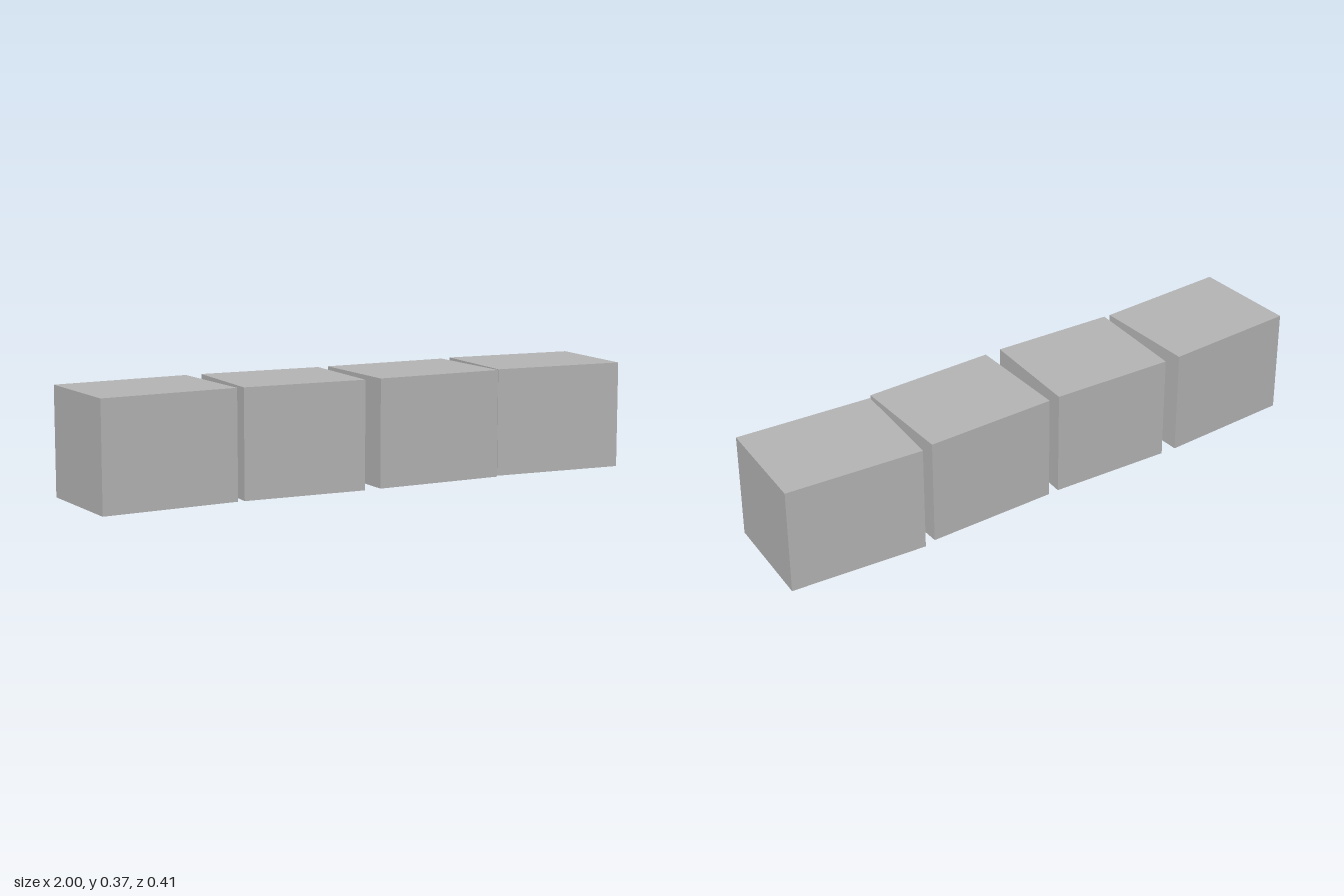
import * as THREE from 'three';

// A row of four loose blocks, each turned slightly about the vertical
export function createModel() {
  const group = new THREE.Group();
  group.name = 'blockRow';
  const grey = new THREE.MeshStandardMaterial({ color: 0xb3b3b3 });
  grey.name = 'grey';

  const size = 0.374; // shared height and depth
  const blocks = [
    { x: -0.752, z: -0.001, width: 0.478, turn: 0.05 },
    { x: -0.255, z: -0.003, width: 0.437, turn: -0.04 },
    { x: 0.246, z: 0, width: 0.466, turn: 0.015 },
    { x: 0.746, z: 0, width: 0.482, turn: -0.072 },
  ];
  blocks.forEach(({ x, z, width, turn }, i) => {
    const block = new THREE.Mesh(new THREE.BoxGeometry(width, size, size), grey);
    block.name = `block${i + 1}`;
    block.position.set(x, size / 2, z);
    block.rotation.y = turn;
    group.add(block);
  });
  return group;
}
